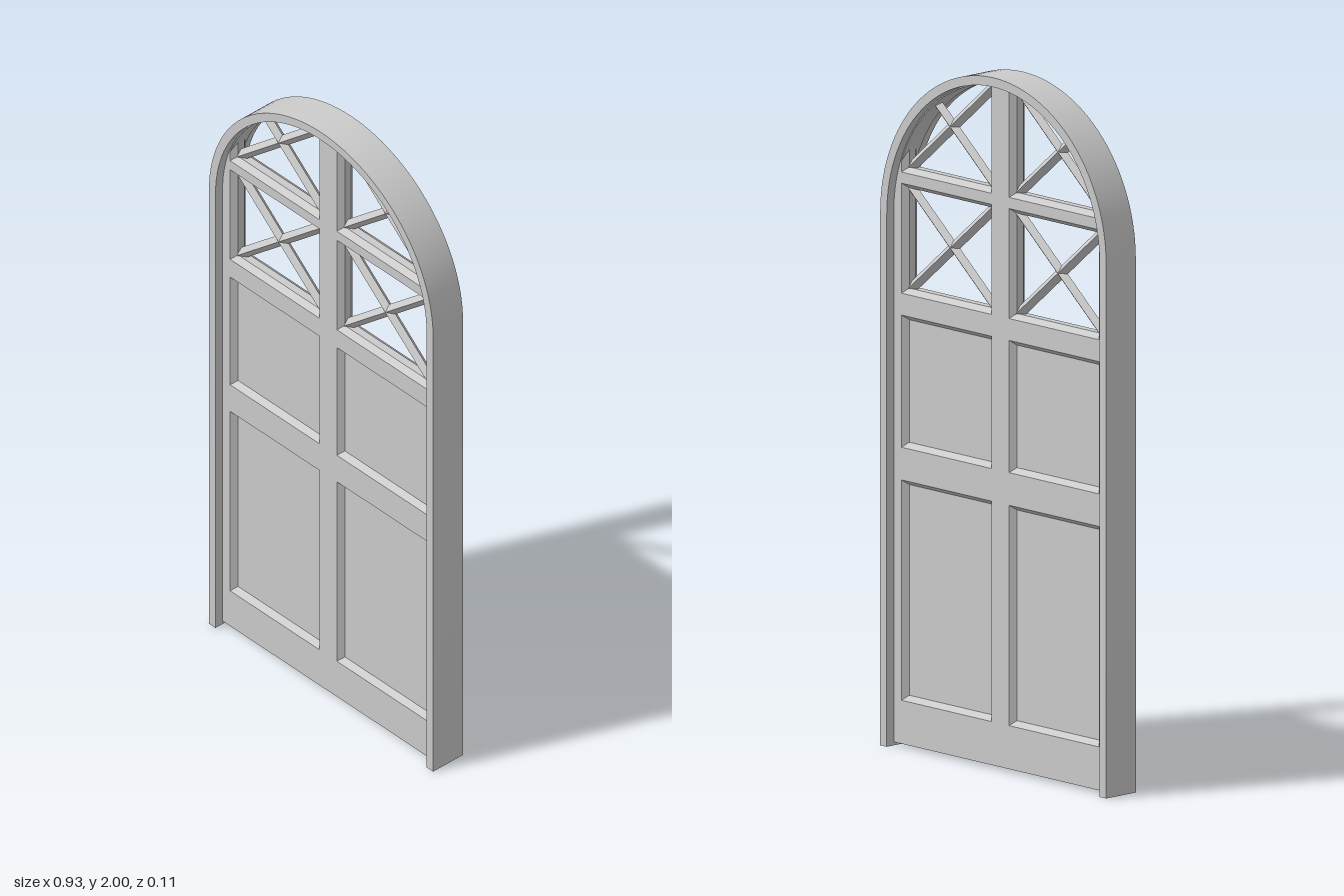
import * as THREE from 'three';
import { toCreasedNormals } from 'three/addons/utils/BufferGeometryUtils.js';

const SPRING = 1.535;         // height where the arch begins
const OUTER = 0.465, INNER = 0.438;
const FRAME_Z = 0.057, DOOR_Z = 0.03, PANEL_Z = 0.012;
const BEVEL = 0.014;
const X0 = 0.036, X1 = 0.407; // opening between mullion and stile

const material = new THREE.MeshStandardMaterial({ color: 0xcccccc });

function addMesh(parent, name, geometry) {
  const mesh = new THREE.Mesh(geometry, material);
  mesh.name = name;
  parent.add(mesh);
  return mesh;
}

function slab(shape, halfDepth) {
  const geo = new THREE.ExtrudeGeometry(shape, { depth: halfDepth * 2, bevelEnabled: false, curveSegments: 28 });
  geo.translate(0, 0, -halfDepth);
  return toCreasedNormals(geo, 0.5);
}

// Arched outline: straight jambs and a semicircular head
function archedShape(r, bottom) {
  const s = new THREE.Shape();
  s.moveTo(-r, bottom);
  s.lineTo(r, bottom);
  s.lineTo(r, SPRING);
  s.absarc(0, SPRING, r, 0, Math.PI, false);
  s.lineTo(-r, bottom);
  return s;
}

// Counter-clockwise outline of an opening, shrunk by inset; no top means it ends at the arch
function opening(side, y0, y1, inset) {
  const a = X0 + inset, b = X1 - inset;
  const pts = [[a, y0 + inset], [b, y0 + inset]];
  if (y1) {
    pts.push([b, y1 - inset], [a, y1 - inset]);
  } else {
    const r = INNER - 0.003, n = 14;
    const t0 = Math.acos(b / r), t1 = Math.acos(a / r);
    for (let i = 0; i <= n; i++) {
      const t = t0 + (t1 - t0) * i / n;
      pts.push([r * Math.cos(t), SPRING + r * Math.sin(t)]);
    }
  }
  const out = pts.map(([x, y]) => new THREE.Vector2(x * side, y));
  return side < 0 ? out.reverse() : out;
}

// Moulding: bevels in from both door faces to a straight inner edge
function mouldingGeometry(side, y0, y1) {
  const layers = [[0, DOOR_Z], [BEVEL, PANEL_Z], [BEVEL, -PANEL_Z], [0, -DOOR_Z]];
  const pos = [], index = [];
  const loops = layers.map(([inset]) => opening(side, y0, y1, inset));
  const n = loops[0].length;
  loops.forEach((loop, k) => loop.forEach(p => pos.push(p.x, p.y, layers[k][1])));
  for (let k = 0; k < 3; k++) {
    for (let j = 0; j < n; j++) {
      const a = k * n + j, b = k * n + (j + 1) % n;
      index.push(a, b, b + n, a, b + n, a + n);
    }
  }
  const geo = new THREE.BufferGeometry();
  geo.setAttribute('position', new THREE.Float32BufferAttribute(pos, 3));
  geo.setIndex(index);
  return toCreasedNormals(geo, 0.5);
}

// Diamond-section glazing bar
function addBar(parent, side, x0, y0, x1, y1) {
  const from = new THREE.Vector3(x0 * side, y0, 0), to = new THREE.Vector3(x1 * side, y1, 0);
  const dir = to.clone().sub(from);
  const geo = toCreasedNormals(new THREE.CylinderGeometry(0.016, 0.016, dir.length(), 4), 0.5);
  const bar = addMesh(parent, 'glazingBar', geo);
  bar.position.copy(from).add(to).multiplyScalar(0.5);
  bar.rotation.z = Math.atan2(dir.y, dir.x) - Math.PI / 2;
}

export function createModel() {
  const model = new THREE.Group();
  model.name = 'archedDoor';

  // Surrounding frame, open at the bottom
  const f = new THREE.Shape();
  f.moveTo(OUTER, 0);
  f.lineTo(OUTER, SPRING);
  f.absarc(0, SPRING, OUTER, 0, Math.PI, false);
  f.lineTo(-OUTER, 0);
  f.lineTo(-INNER, 0);
  f.lineTo(-INNER, SPRING);
  f.absarc(0, SPRING, INNER, Math.PI, 0, true);
  f.lineTo(INNER, 0);
  addMesh(model, 'frame', slab(f, FRAME_Z));

  // Rows of openings: bottom, top (0 = up to the arch), solid panel or glazed
  const rows = [
    { y0: 0.135, y1: 0.77, solid: true },
    { y0: 0.864, y1: 1.245, solid: true },
    { y0: 1.308, y1: 1.625, solid: false },
    { y0: 1.657, y1: 0, solid: false },
  ];

  const door = new THREE.Group();
  door.name = 'door';
  model.add(door);
  const body = archedShape(INNER + 0.006, 0.01);
  const a = X0 + BEVEL, b = X1 - BEVEL;

  for (const side of [-1, 1]) {
    for (const { y0, y1, solid } of rows) {
      body.holes.push(new THREE.Path(opening(side, y0, y1, 0)));
      addMesh(door, 'moulding', mouldingGeometry(side, y0, y1));
      const low = y0 + BEVEL, high = y1 - BEVEL;
      if (solid) {
        const panel = addMesh(door, 'panel', new THREE.BoxGeometry(b - a, high - low, PANEL_Z * 2));
        panel.position.set(side * (a + b) / 2, (low + high) / 2, 0);
      } else if (y1) {
        // Crossed bars in the square light
        addBar(door, side, a, low, b, high);
        addBar(door, side, b, low, a, high);
      } else {
        // Crossed bars cut off by the arch
        addBar(door, side, a, low, 0.29, 1.873);
        addBar(door, side, b, low, a, 1.962);
      }
    }
  }
  addMesh(door, 'stilesAndRails', slab(body, DOOR_Z));
  return model;
}
